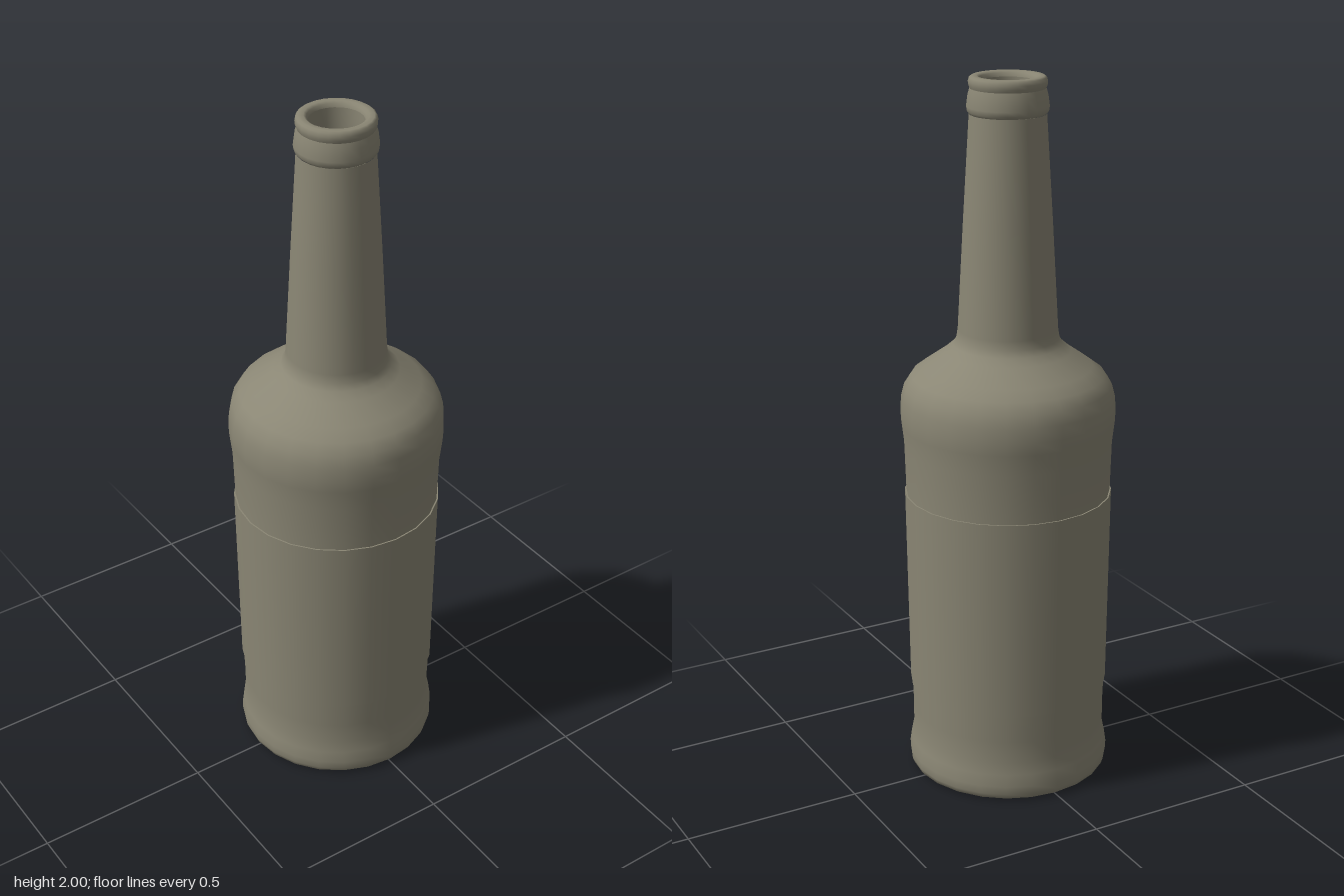
import * as THREE from 'three';

const SIDES = 24;

export function createModel() {
  const group = new THREE.Group();
  group.name = 'bottle';
  const glass = new THREE.MeshStandardMaterial({ color: 0x8a8674 });
  glass.name = 'olive grey glass';

  // Turn a [radius, height] profile around the upright axis
  const turn = (name, profile) => {
    const points = profile.map(([r, y]) => new THREE.Vector2(r, y));
    const mesh = new THREE.Mesh(new THREE.LatheGeometry(points, SIDES), glass);
    mesh.name = name;
    group.add(mesh);
  };

  // Hollowed underside
  turn('underside', [[0, 0.035], [0.12, 0.03], [0.2, 0.018], [0.225, 0.004], [0.24, 0], [0.27, 0]]);

  // Flared foot, straight body, round shoulder and tapering neck
  turn('body', [
    [0.27, 0], [0.282, 0.008], [0.287, 0.022], [0.288, 0.045], [0.283, 0.08], [0.276, 0.115],
    [0.276, 0.18], [0.279, 0.26], [0.287, 0.84], [0.291, 0.98], [0.298, 1.04], [0.3, 1.075],
    [0.297, 1.115], [0.288, 1.15], [0.268, 1.18], [0.235, 1.205], [0.175, 1.247],
    [0.152, 1.267], [0.142, 1.285], [0.138, 1.31], [0.122, 1.6], [0.104, 1.9],
  ]);

  // Wrapped label with thin edges
  turn('label', [[0.279, 0.26], [0.283, 0.26]]);
  turn('label', [[0.283, 0.26], [0.291, 0.84]]);
  turn('label', [[0.291, 0.84], [0.287, 0.84]]);

  // Collar, groove and rolled lip
  turn('collar', [[0.103, 1.9], [0.109, 1.907], [0.111, 1.92], [0.107, 1.95], [0.102, 1.968]]);
  turn('lip', [
    [0.102, 1.968], [0.105, 1.976], [0.106, 1.986], [0.103, 1.996], [0.097, 2],
    [0.083, 2], [0.076, 1.995], [0.073, 1.985],
  ]);

  // Inner wall and floor
  turn('innerWall', [
    [0.073, 1.985], [0.073, 1.9], [0.095, 1.6], [0.11, 1.3], [0.15, 1.22], [0.24, 1.15],
    [0.265, 1.07], [0.25, 0.84], [0.245, 0.1], [0.23, 0.06],
  ]);
  turn('innerFloor', [[0.23, 0.06], [0, 0.06]]);

  return group;
}
